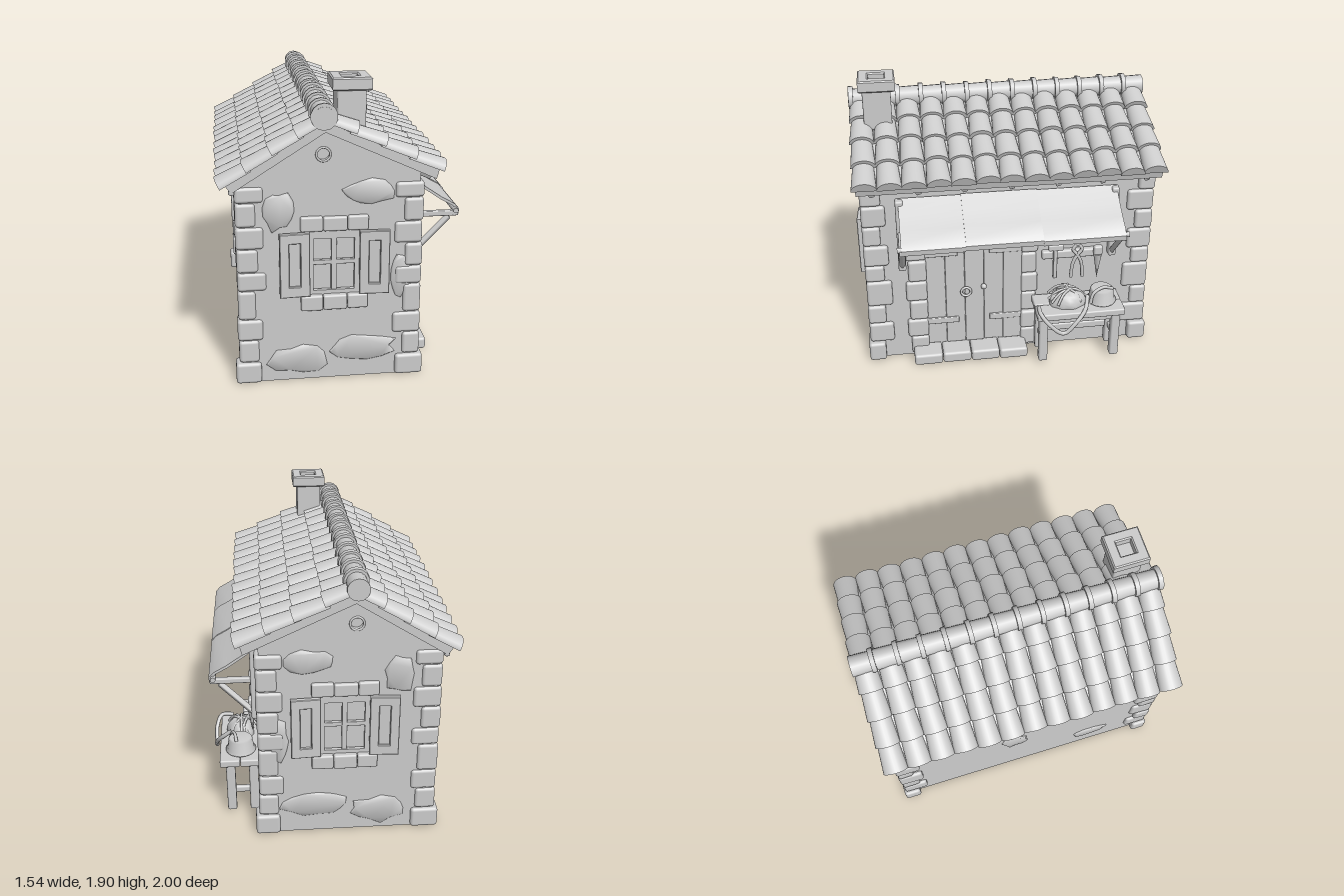
import * as THREE from 'three';
import { toCreasedNormals } from 'three/addons/utils/BufferGeometryUtils.js';
import { RoundedBoxGeometry } from 'three/addons/geometries/RoundedBoxGeometry.js';

const grey = new THREE.MeshStandardMaterial({ color: 0xcccccc });
grey.name = 'clay grey';

let seed = 7;
const rand = () => (seed = (seed * 16807) % 2147483647) / 2147483647;
const jit = (a) => (rand() - 0.5) * 2 * a;
const V = (x, y, z) => new THREE.Vector3(x, y, z);

function add(parent, name, geo, x = 0, y = 0, z = 0, rx = 0, ry = 0, rz = 0) {
  const m = new THREE.Mesh(geo, grey);
  m.name = name;
  m.position.set(x, y, z);
  m.rotation.set(rx, ry, rz);
  parent.add(m);
  return m;
}
function group(parent, name) {
  const g = new THREE.Group();
  g.name = name;
  parent.add(g);
  return g;
}
// Rounded block given by its extents
function block(p, name, x0, x1, y0, y1, z0, z1, r = 0.012) {
  const w = x1 - x0, h = y1 - y0, d = z1 - z0;
  const geo = new RoundedBoxGeometry(w, h, d, 2, Math.min(r, w * 0.45, h * 0.45, d * 0.45));
  return add(p, name, geo, (x0 + x1) / 2, (y0 + y1) / 2, (z0 + z1) / 2);
}
// Square bar from a to b
function bar(p, name, a, b, w) {
  const d = b.clone().sub(a), c = a.clone().add(b).multiplyScalar(0.5);
  const m = add(p, name, new RoundedBoxGeometry(w, w, d.length(), 1, w * 0.2), c.x, c.y, c.z);
  m.quaternion.setFromUnitVectors(V(0, 0, 1), d.normalize());
  return m;
}
function tube(p, name, pts, r, seg = 24) {
  return add(p, name, new THREE.TubeGeometry(new THREE.CatmullRomCurve3(pts), seg, r, 7));
}
const polygon = (pts) => new THREE.Shape(pts.map(([x, y]) => new THREE.Vector2(x, y)));
const extrude = (shape, depth, bevel = 0) => new THREE.ExtrudeGeometry(shape, {
  depth, bevelEnabled: bevel > 0, bevelSize: bevel, bevelThickness: bevel, bevelSegments: 1, curveSegments: 16 });
function rectHole(shape, x0, x1, y0, y1) {
  shape.holes.push(new THREE.Path([[x0, y0], [x0, y1], [x1, y1], [x1, y0]].map(([x, y]) => new THREE.Vector2(x, y))));
  return shape;
}
const rect = (x0, x1, y0, y1) => polygon([[x0, y0], [x1, y0], [x1, y1], [x0, y1]]);

// Ragged raised area of plaster, lying in the xy plane
function patch(w, h) {
  const pts = [];
  for (let i = 0; i < 13; i++) {
    const a = i / 13 * Math.PI * 2, k = 0.7 + rand() * 0.35;
    pts.push([Math.cos(a) * w * k, Math.sin(a) * h * k]);
  }
  return toCreasedNormals(extrude(polygon(pts), 0.002, 0.009), 0.9);
}

const APEX = -0.14, TAN_R = 0.46, TAN_L = 0.63;
const gable = () => polygon([[-0.65, 0], [0.43, 0], [0.43, 1.345], [APEX, 1.61], [-0.65, 1.287]]);

function buildWalls(g) {
  const core = extrude(gable(), 1.81);
  add(g, 'wallCore', core, 0, 0, -0.905);
  for (const s of [1, -1]) {
    const face = rectHole(gable(), -0.24, 0.07, 0.57, 0.96);
    const vent = new THREE.Path();
    vent.absarc(-0.15, 1.46, 0.04, 0, Math.PI * 2, true);
    face.holes.push(vent);
    add(g, 'gableWall', extrude(face, 0.04), 0, 0, s > 0 ? 0.905 : -0.945);
    add(g, 'ventRing', new THREE.TorusGeometry(0.041, 0.007, 8, 24), -0.15, 1.46, s * 0.945);
    // Uneven plaster
    for (const [x, y, w, h] of [[0.1, 0.2, 0.22, 0.09], [-0.3, 0.14, 0.2, 0.1], [0.12, 1.22, 0.16, 0.08],
      [-0.42, 1.12, 0.1, 0.13], [0.32, 0.68, 0.06, 0.16]])
      add(g, 'plasterPatch', patch(w, h), x, y, s * 0.941, 0, s > 0 ? 0 : Math.PI);
  }
  for (const [y, z, w, h] of [[0.65, -0.1, 0.1, 0.12], [0.25, 0.5, 0.14, 0.07], [1.05, 0.35, 0.1, 0.08]])
    add(g, 'sidePatch', patch(w, h), -0.649, y, z, 0, -Math.PI / 2);
}

function buildQuoins(g) {
  const heights = [0.14, 0.15, 0.14, 0.19, 0.12, 0.15, 0.14, 0.15, 0.1];
  for (const sx of [1, -1]) for (const sz of [1, -1]) {
    let y = 0;
    heights.forEach((h, i) => {
      const out = (i === 0 ? 0.02 : 0) + rand() * 0.008, long = i % 2 === 0;
      const x1 = (sx > 0 ? 0.45 : 0.67) + out, z1 = 0.958 + out * 0.5;
      const lx = (long ? 0.165 : 0.12) + jit(0.012), lz = (long ? 0.12 : 0.165) + jit(0.012);
      const xs = [sx * x1, sx * (x1 - lx)].sort((a, b) => a - b);
      const zs = [sz * z1, sz * (z1 - lz)].sort((a, b) => a - b);
      const m = block(g, 'cornerStone', xs[0], xs[1], y, y + h - 0.003, zs[0], zs[1], 0.02);
      if (i) m.rotation.y = jit(0.03);
      y += h;
    });
  }
}

function buildRoof(g) {
  add(g, 'roofDeck', extrude(polygon([[0.52, 1.295], [0.535, 1.35], [APEX, 1.66], [-0.72, 1.295],
    [-0.69, 1.25], [APEX, 1.597]]), 1.95), 0, 0, -0.975);
  const rows = 13, pitch = 0.1535;
  // Barrel tiles, four courses on each slope
  for (const [side, tan, run] of [[1, TAN_R, 0.70], [-1, TAN_L, 0.612]]) {
    const a = Math.atan(tan), step = run / 4 / Math.cos(a);
    const up = V(-side * Math.cos(a), Math.sin(a), 0), n = V(side * Math.sin(a), Math.cos(a), 0);
    const basis = new THREE.Matrix4().makeBasis(up.clone().cross(n), up, n);
    for (let r = 0; r < rows; r++) for (let c = 0; c < 4; c++) {
      const len = step + 0.03;
      const geo = new THREE.CylinderGeometry(0.066, 0.08, len, 12, 1, false, -Math.PI / 2, Math.PI);
      geo.scale(1, 1, 0.8);
      geo.rotateX(-0.06 + jit(0.02));
      geo.rotateZ(jit(0.025));
      geo.applyMatrix4(basis);
      const d = (c + 1) * step - len / 2 + jit(0.005);
      add(g, 'roofTile', geo, APEX - up.x * d, 1.662 - up.y * d + jit(0.004), (r - 6) * pitch);
    }
  }
  // Ridge caps with a raised lip
  for (let r = 0; r < rows; r++) {
    const z = (r - 6) * pitch;
    add(g, 'ridgeCap', new THREE.CylinderGeometry(0.062, 0.068, 0.155, 14), -0.15, 1.69, z, Math.PI / 2);
    add(g, 'ridgeLip', new THREE.CylinderGeometry(0.08, 0.076, 0.03, 14), -0.15, 1.692 + jit(0.004), z + 0.06, Math.PI / 2);
  }
  // Eave boards and rafter ends
  block(g, 'eaveBoard', 0.485, 0.525, 1.305, 1.345, -0.97, 0.97);
  block(g, 'eaveBoard', -0.705, -0.67, 1.235, 1.285, -0.97, 0.97);
  for (const z of [-0.88, -0.59, -0.3, 0, 0.3, 0.59, 0.88]) {
    bar(g, 'rafter', V(0.4, 1.335, z), V(0.51, 1.285, z), 0.035);
    bar(g, 'rafter', V(-0.6, 1.3, z), V(-0.69, 1.245, z), 0.035);
  }
  // Chimney with an open flue
  const c = group(g, 'chimney');
  const flue = () => rectHole(rect(-0.108, 0.108, -0.11, 0.11), -0.058, 0.058, -0.058, 0.058);
  block(c, 'chimneyShaft', -0.065, 0.107, 1.56, 1.84, 0.72, 0.902);
  add(c, 'chimneyCap', extrude(flue(), 0.06, 0.008), 0.022, 1.831, 0.808, -Math.PI / 2);
}

function buildWindow(parent, s) {
  const g = group(parent, 'window');
  g.position.set(-0.085, 0, s * 0.945);
  if (s < 0) g.rotation.y = Math.PI;
  add(g, 'windowFrame', extrude(rectHole(rect(-0.155, 0.155, 0.57, 0.96), -0.125, 0.125, 0.6, 0.935), 0.025), 0, 0, -0.03);
  block(g, 'glazingBarUpright', -0.017, 0.017, 0.58, 0.95, -0.035, -0.008, 0.005);
  block(g, 'glazingBarCross', -0.14, 0.14, 0.765, 0.795, -0.035, -0.01, 0.005);
  // Lintel and sill stones
  for (const [x0, x1] of [[-0.205, -0.07], [-0.068, 0.078], [0.08, 0.205]]) {
    block(g, 'lintelStone', x0, x1, 0.99, 1.08 + jit(0.005), -0.03, 0.025);
    block(g, 'sillStone', x0, x1, 0.48 + jit(0.005), 0.575, -0.03, 0.03);
  }
  // Shutters swung open
  for (const d of [-1, 1]) {
    const sh = group(g, 'shutter');
    sh.position.set(d * 0.155, 0, 0.012);
    sh.rotation.y = -d * 0.06;
    const x0 = d > 0 ? 0 : -0.175;
    add(sh, 'shutterFrame', extrude(rectHole(rect(x0, x0 + 0.175, 0.585, 0.985), x0 + 0.05, x0 + 0.125, 0.645, 0.93), 0.024, 0.004), 0, 0, 0);
    block(sh, 'shutterPanel', x0 + 0.04, x0 + 0.135, 0.63, 0.94, -0.02, 0.01, 0.004);
  }
}

function buildDoor(g) {
  for (let i = 0; i < 5; i++)
    block(g, 'doorPlank', 0.41, 0.44 + jit(0.004), 0.08, 1.02, 0.437 - i * 0.13, 0.565 - i * 0.13, 0.008);
  for (const y of [0.27, 0.8]) {
    block(g, 'strapHinge', 0.43, 0.452, y - 0.022, y + 0.022, 0.35, 0.57, 0.006);
    block(g, 'strapHinge', 0.43, 0.452, y - 0.022, y + 0.022, -0.08, 0.14, 0.006);
  }
  add(g, 'knocker', new THREE.TorusGeometry(0.032, 0.009, 8, 20), 0.462, 0.5, 0.3, 0, Math.PI / 2);
  add(g, 'knob', new THREE.SphereGeometry(0.02, 12, 8), 0.46, 0.53, 0.18);
  // Jamb stones, lintel and step
  [0.02, 0.16, 0.3, 0.45, 0.6, 0.76, 0.9].forEach((y, i) => {
    const h = [0.137, 0.137, 0.147, 0.147, 0.157, 0.137, 0.12][i], w = i % 2 ? 0.02 : 0;
    block(g, 'jambStone', 0.39, 0.455 + jit(0.008), y, y + h, 0.56, 0.68 + w, 0.018);
    block(g, 'jambStone', 0.39, 0.455 + jit(0.008), y, y + h, -0.18 - w * 0.5, -0.075, 0.018);
  });
  block(g, 'doorLintel', 0.39, 0.455, 1.02, 1.12, -0.2, 0.7, 0.015);
  for (let i = 0; i < 4; i++)
    block(g, 'stepStone', 0.4, 0.575 + jit(0.006), 0, 0.08 + jit(0.004), 0.477 - i * 0.195, 0.669 - i * 0.195, 0.018);
}

function buildAwning(g) {
  // Three lengths of cloth over a front rail
  [[0.32, 0.72, 0], [-0.17, 0.32, 0.006], [-0.7, -0.17, 0]].forEach(([z0, z1, o]) => {
    const top = [[0.44, 1.225], [0.53, 1.158], [0.63, 1.09], [0.71, 1.045], [0.742, 1.01], [0.738, 0.975]];
    const under = [[0.726, 0.975], [0.728, 1.005], [0.7, 1.032], [0.62, 1.076], [0.52, 1.145], [0.44, 1.205]];
    add(g, 'awningCloth', toCreasedNormals(extrude(polygon([...under, ...top].map(([x, y]) => [x, y + o])), z1 - z0), 0.7), 0, 0, z0);
  });
  add(g, 'awningRail', new THREE.CylinderGeometry(0.017, 0.017, 1.47, 10), 0.715, 1.005, 0.01, Math.PI / 2);
  for (const z of [0.715, -0.69]) {
    block(g, 'bracketPost', 0.42, 0.485, 0.71, 1.22, z - 0.025, z + 0.025);
    bar(g, 'bracketArm', V(0.45, 0.985, z), V(0.735, 0.985, z), 0.035);
    bar(g, 'bracketStrut', V(0.465, 0.745, z), V(0.675, 0.965, z), 0.034);
  }
}

function buildTools(g) {
  block(g, 'toolRack', 0.42, 0.465, 0.705, 0.765, -0.63, -0.215);
  bar(g, 'hammerHandle', V(0.48, 0.57, -0.3), V(0.48, 0.81, -0.3), 0.028);
  block(g, 'hammerHead', 0.46, 0.5, 0.785, 0.832, -0.355, -0.25);
  for (const s of [1, -1])
    tube(g, 'pincers', [V(0.485, 0.57, -0.45 + s * 0.04), V(0.485, 0.68, -0.45 + s * 0.028), V(0.485, 0.74, -0.45),
      V(0.485, 0.785, -0.45 - s * 0.03), V(0.485, 0.82, -0.45 - s * 0.006)], 0.012);
  add(g, 'chiselBlade', new THREE.ConeGeometry(0.03, 0.19, 8), 0.485, 0.645, -0.59, Math.PI);
  block(g, 'chiselHandle', 0.465, 0.505, 0.735, 0.8, -0.62, -0.56);
}

function buildBench(g) {
  for (let i = 0; i < 2; i++)
    block(g, 'benchTop', 0.44 + i * 0.132, 0.57 + i * 0.132, 0.37, 0.42, -0.745, -0.15, 0.01);
  for (const z of [-0.2, -0.695]) {
    for (const x of [0.485, 0.635]) block(g, 'benchLeg', x - 0.03, x + 0.03, 0.02, 0.375, z - 0.03, z + 0.03);
    block(g, 'sideStretcher', 0.46, 0.63, 0.15, 0.195, z - 0.016, z + 0.016);
  }
  block(g, 'longStretcher', 0.47, 0.5, 0.145, 0.2, -0.7, -0.2);
  block(g, 'apron', 0.62, 0.65, 0.31, 0.37, -0.7, -0.2, 0.006);
  // Heap of net and cord
  const heap = new THREE.SphereGeometry(1, 18, 12), p = heap.attributes.position;
  for (let i = 0; i < p.count; i++) {
    const [x, y, z] = [p.getX(i), p.getY(i), p.getZ(i)], k = 1 + 0.1 * Math.sin(7 * x + 3 * y) * Math.cos(8 * z);
    p.setXYZ(i, x * 0.09 * k, y * 0.085 * k, z * 0.125 * k);
  }
  heap.computeVertexNormals();
  add(g, 'netHeap', heap, 0.565, 0.435, -0.375);
  for (let i = 0; i < 7; i++) {
    const t = jit(0.05), a = i * 0.45;
    const pts = [-1, -0.5, 0, 0.5, 1].map((u) => V(0.565 + Math.sin(a) * u * 0.09 + t, 0.435 + 0.09 * Math.sqrt(1 - u * u * 0.95), -0.375 + Math.cos(a) * u * 0.13));
    tube(g, 'netCord', pts, 0.009, 14);
  }
  tube(g, 'hangingRope', [V(0.62, 0.435, -0.17), V(0.7, 0.432, -0.17), V(0.735, 0.37, -0.22), V(0.735, 0.29, -0.32),
    V(0.73, 0.36, -0.4), V(0.69, 0.435, -0.47), V(0.62, 0.5, -0.5)], 0.014, 40);
  // Pail with a handle
  add(g, 'pail', new THREE.LatheGeometry([[0, 0], [0.095, 0], [0.1, 0.012], [0.088, 0.02], [0.078, 0.09], [0.068, 0.1], [0, 0.1]]
    .map(([x, y]) => new THREE.Vector2(x, y)), 20), 0.565, 0.42, -0.61);
  tube(g, 'pailHandle', [V(0.63, 0.44, -0.52), V(0.62, 0.51, -0.54), V(0.6, 0.54, -0.61), V(0.59, 0.52, -0.68)], 0.011);
}

export function createModel() {
  const root = new THREE.Group();
  root.name = 'cottageWorkshop';
  buildWalls(group(root, 'walls'));
  buildQuoins(group(root, 'cornerStones'));
  buildRoof(group(root, 'roof'));
  buildWindow(root, 1);
  buildWindow(root, -1);
  buildDoor(group(root, 'doorway'));
  buildAwning(group(root, 'awning'));
  buildTools(group(root, 'tools'));
  buildBench(group(root, 'workbench'));
  return root;
}
